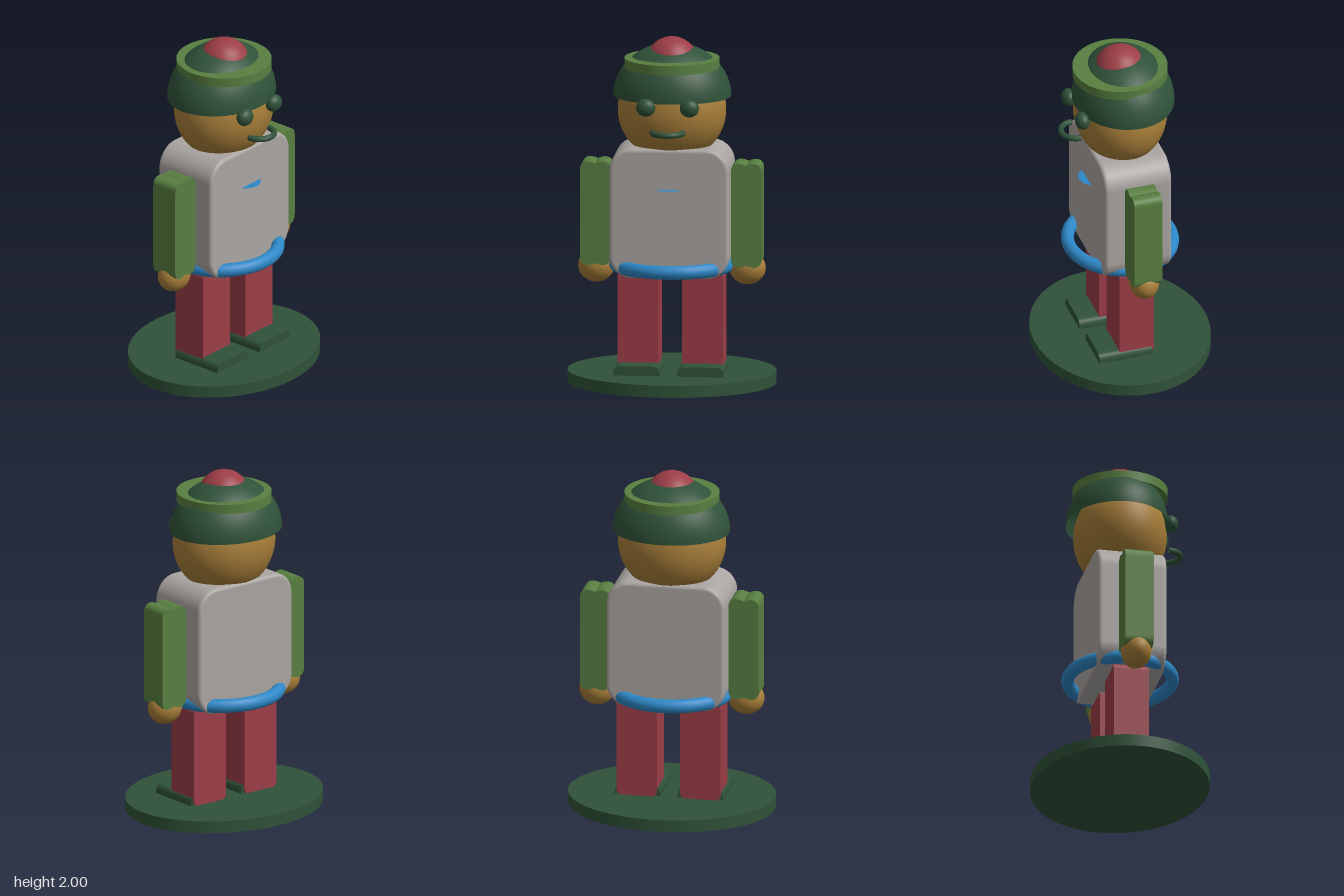
import * as THREE from 'three';

export function createModel() {
  const root = new THREE.Group();
  const mat = (name, color, side = THREE.FrontSide) => {
    const m = new THREE.MeshStandardMaterial({ color, side });
    m.name = name;
    return m;
  };
  const darkGreen = mat('dark green', 0x2f5239, THREE.DoubleSide);
  const lightGreen = mat('leaf green', 0x587f41);
  const gold = mat('golden skin', 0xa67d38);
  const red = mat('brick red', 0x9c3d46);
  const grey = mat('warm grey', 0xaaa5a2);
  const blue = mat('belt blue', 0x2d88c8, THREE.DoubleSide);

  function add(name, geometry, material, x = 0, y = 0, z = 0) {
    const m = new THREE.Mesh(geometry, material);
    m.name = name;
    m.position.set(x, y, z);
    root.add(m);
    return m;
  }
  const ellipsoid = (rx, ry, rz) => new THREE.SphereGeometry(1, 40, 28).scale(rx, ry, rz);

  // Rounded rectangle in x/y, centred on x = 0
  function roundedRect(w, y0, y1, r) {
    const s = new THREE.Shape(), h = w / 2;
    s.moveTo(-h + r, y0);
    s.lineTo(h - r, y0);
    s.absarc(h - r, y0 + r, r, -Math.PI / 2, 0);
    s.lineTo(h, y1 - r);
    s.absarc(h - r, y1 - r, r, 0, Math.PI / 2);
    s.lineTo(-h + r, y1);
    s.absarc(-h + r, y1 - r, r, Math.PI / 2, Math.PI);
    s.lineTo(-h, y0 + r);
    s.absarc(-h + r, y0 + r, r, Math.PI, Math.PI * 1.5);
    return s;
  }

  // Arm outline with two soft lobes at each end
  function armShape(w, y0, y1) {
    const s = new THREE.Shape(), h = w / 2, d = 0.05, n = 0.014;
    s.moveTo(0, y0 + n);
    s.bezierCurveTo(h * 0.4, y0 - 0.006, h, y0 - 0.006, h, y0 + d);
    s.lineTo(h, y1 - d);
    s.bezierCurveTo(h, y1 + 0.006, h * 0.4, y1 + 0.006, 0, y1 - n);
    s.bezierCurveTo(-h * 0.4, y1 + 0.006, -h, y1 + 0.006, -h, y1 - d);
    s.lineTo(-h, y0 + d);
    s.bezierCurveTo(-h, y0 - 0.006, -h * 0.4, y0 - 0.006, 0, y0 + n);
    return s;
  }

  // Extrude from z0 to z1, bevel kept inside the outline
  function slab(shape, z0, z1, bevel = 0) {
    return new THREE.ExtrudeGeometry(shape, {
      depth: z1 - z0 - 2 * bevel, curveSegments: 10, bevelEnabled: bevel > 0,
      bevelThickness: bevel, bevelSize: bevel, bevelOffset: -bevel, bevelSegments: 4,
    }).translate(0, 0, z0 + bevel);
  }

  // Oval stand
  add('base', new THREE.CylinderGeometry(1, 1, 0.07, 64).scale(0.597, 1, 0.508), darkGreen, 0, 0.035, 0);

  // Torso, belt and small chest ledge
  add('torso', slab(roundedRect(0.685, 0.63, 1.38, 0.13), -0.2, 0.2, 0.02), grey);
  add('belt', new THREE.TorusGeometry(0.32, 0.04, 16, 64).rotateX(Math.PI / 2).scale(1, 1, 0.93), blue, 0, 0.685, 0);
  add('chestLedge', new THREE.CircleGeometry(0.097, 32).rotateX(-Math.PI / 2), blue, 0, 1.147, 0.15);

  // Paired limbs and eyes
  for (const s of [1, -1]) {
    const side = s > 0 ? 'left' : 'right';
    add(side + 'Leg', slab(roundedRect(0.235, 0.07, 0.65, 0.03), -0.103, 0.103), red, s * 0.185, 0, 0);
    const shoe = new THREE.Shape();
    shoe.moveTo(-0.132, 0.06);
    shoe.lineTo(0.132, 0.06);
    shoe.lineTo(0.132, 0.085);
    shoe.quadraticCurveTo(0.128, 0.125, 0.092, 0.125);
    shoe.lineTo(-0.092, 0.125);
    shoe.quadraticCurveTo(-0.128, 0.125, -0.132, 0.085);
    add(side + 'Shoe', slab(shoe, -0.092, 0.225), darkGreen, s * 0.183, 0, 0);
    add(side + 'Arm', slab(armShape(0.175, 0.68, 1.285), -0.083, 0.083), lightGreen, s * 0.432, 0, 0);
    add(side + 'Hand', ellipsoid(0.104, 0.095, 0.086), gold, s * 0.433, 0.667, 0);
    add(side + 'Eye', ellipsoid(0.055, 0.051, 0.042), darkGreen, s * 0.125, 1.635, 0.267);
  }

  // Head and curved mouth
  add('head', ellipsoid(0.31, 0.3, 0.265), gold, 0, 1.58, 0);
  add('mouth', new THREE.TorusGeometry(0.086, 0.017, 12, 32, Math.PI).rotateX(Math.PI / 2), darkGreen, 0, 1.49, 0.265);

  // Domed cap with flat band and top button
  add('capDome', new THREE.SphereGeometry(1, 48, 20, 0, Math.PI * 2, 0, Math.PI / 2).scale(0.337, 0.305, 0.289), darkGreen, 0, 1.656, -0.018);
  add('capBand', new THREE.CylinderGeometry(0.272, 0.272, 0.055, 64), lightGreen, 0, 1.852, 0);
  add('capButton', ellipsoid(0.15, 0.15, 0.15), red, 0, 1.85, 0);

  return root;
}
